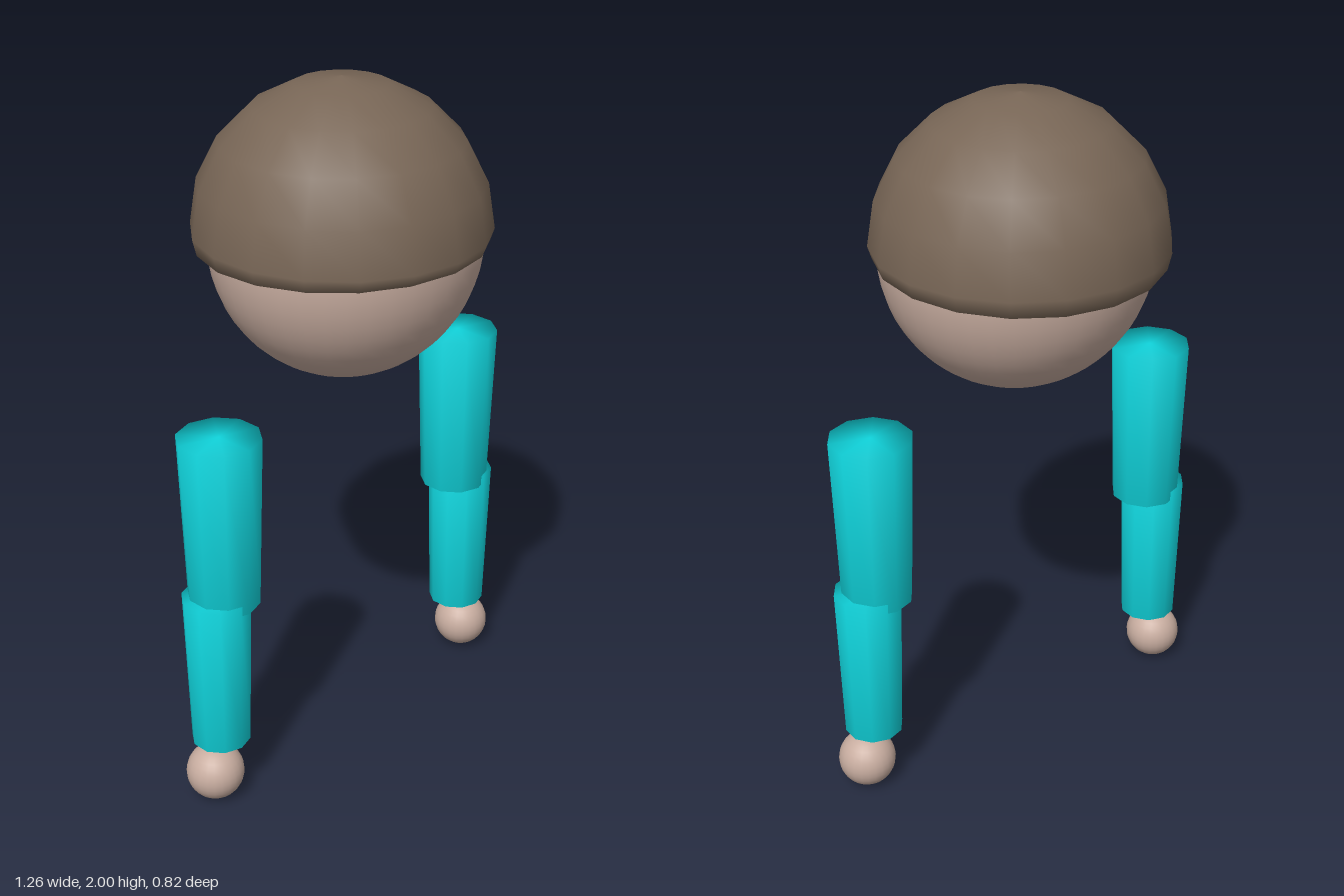
import * as THREE from 'three';

const skin = new THREE.MeshStandardMaterial({ name: 'skin', color: 0xc8ada0 });
const brown = new THREE.MeshStandardMaterial({ name: 'hairBrown', color: 0x786656 });
const cyan = new THREE.MeshStandardMaterial({ name: 'sleeveCyan', color: 0x10d6de });

function addMesh(parent, name, geometry, material, x, y, z) {
  const mesh = new THREE.Mesh(geometry, material);
  mesh.name = name;
  mesh.position.set(x, y, z);
  parent.add(mesh);
  return mesh;
}

// Closed ten-sided tapered tube, softly shaded across its rims
function taperedTube(bottomRadius, topRadius, height) {
  const h = height / 2;
  const profile = [[0, -h], [bottomRadius, -h], [topRadius, h], [0, h]];
  return new THREE.LatheGeometry(profile.map(([r, y]) => new THREE.Vector2(r, y)), 10);
}

// Hair dome with a tucked-in lower rim that dips slightly at the back
function hairGeometry(radius) {
  const profile = [[0.3, -0.055], [0.372, -0.053], [0.4, -0.04]];
  for (let i = 5; i >= 0; i--) {
    const a = (i / 5) * Math.PI / 2;
    profile.push([radius * Math.sin(a), radius * Math.cos(a)]);
  }
  const geometry = new THREE.LatheGeometry(profile.map(([r, y]) => new THREE.Vector2(r, y)), 18);
  const p = geometry.attributes.position;
  for (let i = 0; i < p.count; i++) {
    if (p.getY(i) < -0.01) p.setY(i, p.getY(i) + p.getZ(i) * 0.025);
  }
  return geometry;
}

export function createModel() {
  const model = new THREE.Group();
  model.name = 'floatingFigure';

  // Head and hair
  const head = addMesh(model, 'head', new THREE.SphereGeometry(0.385, 40, 28), skin, 0, 1.565, 0.016);
  head.scale.z = 0.95;
  addMesh(model, 'hair', hairGeometry(0.411), brown, 0, 1.589, 0);

  // Mirrored arms: upper sleeve, lower sleeve and hand
  for (const side of [-1, 1]) {
    const arm = new THREE.Group();
    arm.name = side > 0 ? 'leftArm' : 'rightArm';
    addMesh(arm, 'upperSleeve', taperedTube(0.101, 0.117, 0.505), cyan, side * 0.487, 0.8825, 0.016);
    addMesh(arm, 'lowerSleeve', taperedTube(0.084, 0.097, 0.47), cyan, side * 0.517, 0.425, 0.017);
    addMesh(arm, 'hand', new THREE.SphereGeometry(0.083, 24, 16), skin, side * 0.545, 0.087, 0.018);
    model.add(arm);
  }
  return model;
}
